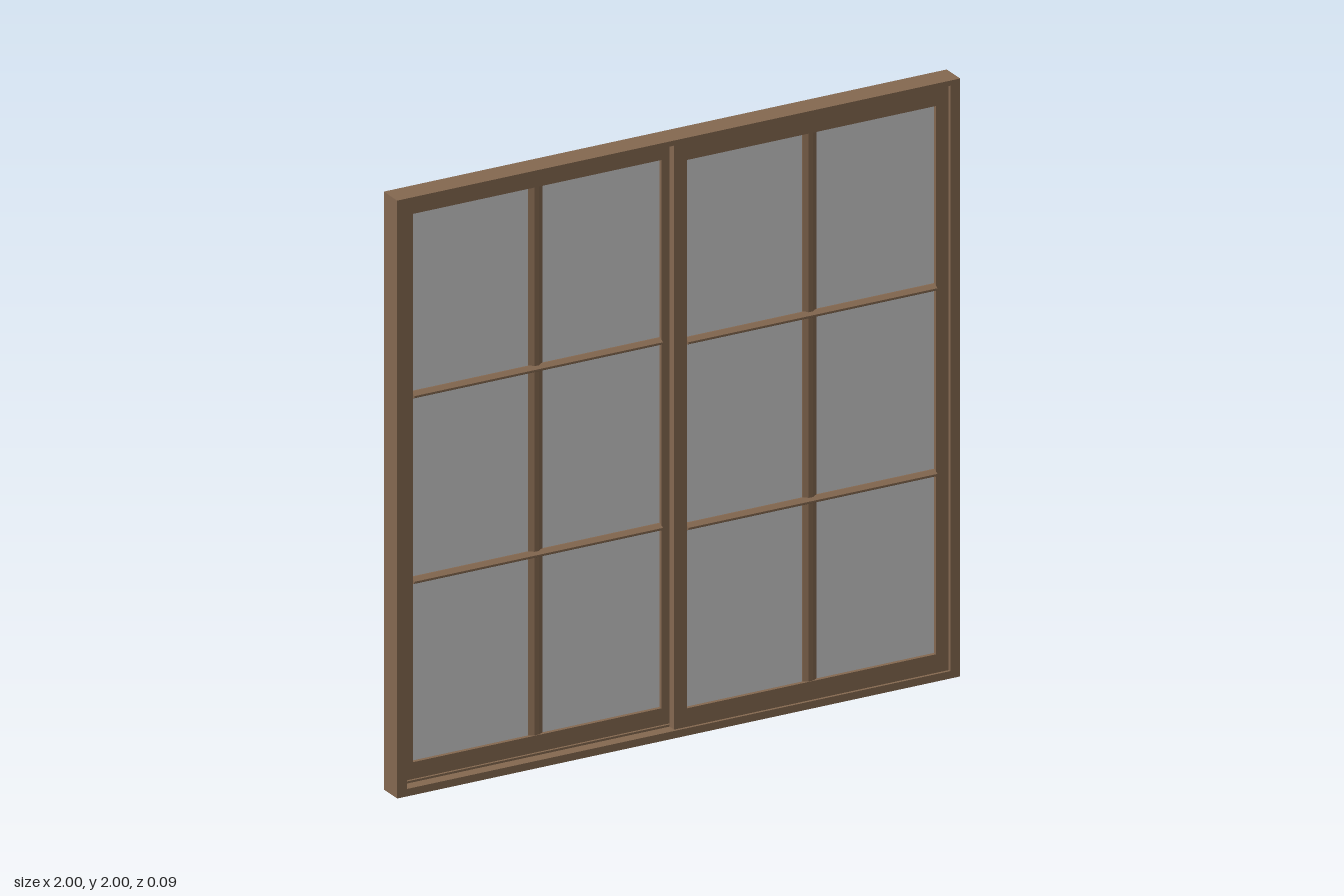
import * as THREE from 'three';

const wood = new THREE.MeshStandardMaterial({ color: 0x846850 });
const glassMat = new THREE.MeshStandardMaterial({ color: 0xcccccc });
const brass = new THREE.MeshStandardMaterial({ color: 0x8a7350 });

function addMesh(parent, name, geometry, material, x = 0, y = 0, z = 0) {
  const mesh = new THREE.Mesh(geometry, material);
  mesh.name = name;
  mesh.position.set(x, y, z);
  parent.add(mesh);
  return mesh;
}

// Rectangular ring [x0, y0, x1, y1] around an opening, from z0 to z1
function ring(outer, inner, z0, z1) {
  const corners = ([a, b, c, d]) => [[a, b], [c, b], [c, d], [a, d]].map(p => new THREE.Vector2(...p));
  const shape = new THREE.Shape(corners(outer));
  shape.holes.push(new THREE.Path(corners(inner).reverse()));
  return new THREE.ExtrudeGeometry(shape, { depth: z1 - z0, bevelEnabled: false }).translate(0, 0, z0);
}

// Glazing bar along +z with sloped sides and a narrow flat on both faces
function barGeometry(length) {
  const w = 0.025, f = 0.008, d = 0.012, e = 0.003;
  const shape = new THREE.Shape(
    [[-w, -e], [-f, -d], [f, -d], [w, -e], [w, e], [f, d], [-f, d], [-w, e]].map(p => new THREE.Vector2(...p)));
  return new THREE.ExtrudeGeometry(shape, { depth: length, bevelEnabled: false }).translate(0, 0, -length / 2);
}

// One sliding sash: stiles and rails, pane, glazing bars
function makeSash(name, x0, x1, z) {
  const sash = new THREE.Group();
  sash.name = name;
  sash.position.z = z;
  const y0 = 0.026, y1 = 1.982, bottom = 0.088, top = 1.922, stile = 0.045;
  const left = x0 + stile, right = x1 - stile;
  const w = right - left, h = top - bottom, cx = (left + right) / 2, cy = (top + bottom) / 2;
  addMesh(sash, 'sashFrame', ring([x0, y0, x1, y1], [left, bottom, right, top], -0.015, 0.015), wood);
  addMesh(sash, 'glassPane', new THREE.BoxGeometry(w, h, 0.004), glassMat, cx, cy);
  addMesh(sash, 'verticalBar', barGeometry(h).rotateX(Math.PI / 2).rotateY(0), wood, cx, cy)
    .geometry.computeVertexNormals();
  for (const y of [0.692, 1.313]) {
    // Turn the bar so its length runs along x and its depth along z
    const bar = barGeometry(w).rotateZ(Math.PI / 2).rotateY(Math.PI / 2).rotateX(Math.PI / 2);
    addMesh(sash, 'horizontalBar', bar, wood, cx, y);
  }
  return sash;
}

export function createModel() {
  const model = new THREE.Group();
  model.name = 'slidingWindow';

  // Outer frame and the parting bead between the two tracks
  addMesh(model, 'outerFrame', ring([-1, 0, 1, 2], [-0.965, 0.025, 0.965, 1.983], -0.042, 0.042), wood);
  addMesh(model, 'partingBead', ring([-0.967, 0.023, 0.967, 1.985], [-0.955, 0.032, 0.955, 1.976], -0.004, 0.004), wood);

  // Sashes overlap at the meeting stiles
  model.add(makeSash('frontSash', -0.012, 0.963, 0.0195));
  model.add(makeSash('rearSash', -0.963, 0.01, -0.0195));

  // Crescent lock on the edge of the rear meeting stile
  const lock = new THREE.Group();
  lock.name = 'lock';
  lock.position.set(0.01, 0.54, -0.02);
  addMesh(lock, 'lockPlate', new THREE.BoxGeometry(0.006, 0.08, 0.018), brass, 0.003);
  addMesh(lock, 'lockPivot', new THREE.CylinderGeometry(0.008, 0.008, 0.018, 16).rotateZ(Math.PI / 2), brass, 0.013);
  addMesh(lock, 'lockCam', new THREE.CylinderGeometry(0.019, 0.019, 0.008, 24, 1, false, 0, Math.PI).rotateZ(Math.PI / 2), brass, 0.02, 0.006);
  addMesh(lock, 'lockLever', new THREE.BoxGeometry(0.008, 0.045, 0.01), brass, 0.024, -0.022, -0.004);
  addMesh(lock, 'lockKnob', new THREE.SphereGeometry(0.007, 16, 12), brass, 0.026, -0.045, -0.004);
  model.add(lock);
  return model;
}

// Bars share one profile: local x is width, local y is depth before turning
